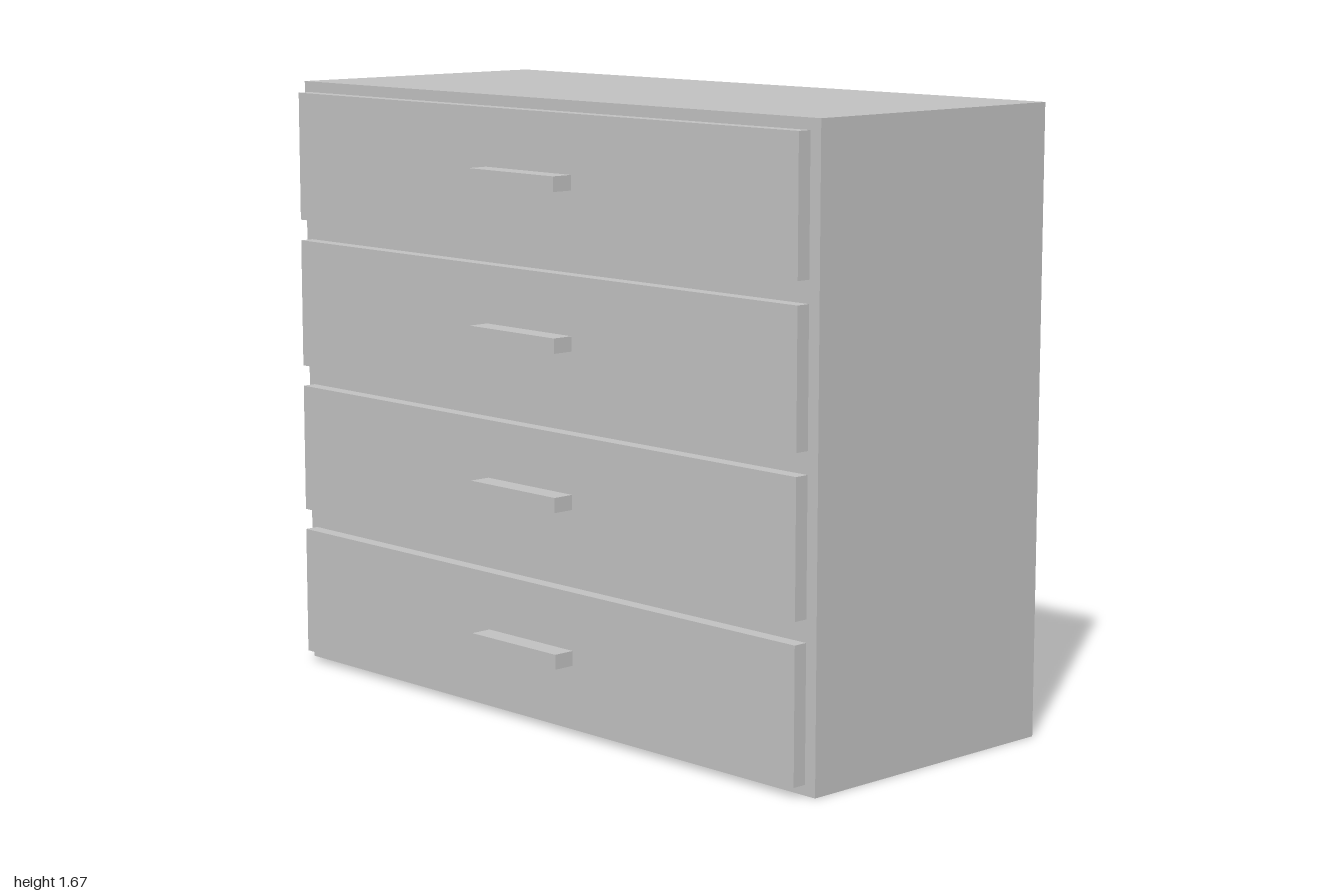
import * as THREE from 'three';

export function createModel() {
  const model = new THREE.Group();
  model.name = 'chestOfDrawers';
  const grey = new THREE.MeshStandardMaterial({ color: 0xc0c0c0 });
  grey.name = 'plain grey';

  // Box from its size, vertical centre and back plane
  const addBox = (name, parent, width, height, depth, y, back) => {
    const mesh = new THREE.Mesh(new THREE.BoxGeometry(width, height, depth), grey);
    mesh.name = name;
    mesh.position.set(0, y, back + depth / 2);
    parent.add(mesh);
  };

  // Cabinet body
  const height = 1.667;
  addBox('cabinet', model, 2, height, 0.832, height / 2, -0.469);

  // Four equal drawers, fronts set just off the body, each with a bar handle
  const count = 4;
  const pitch = height / count;
  for (let i = 0; i < count; i++) {
    const drawer = new THREE.Group();
    drawer.name = `drawer${i + 1}`;
    drawer.position.y = pitch * (i + 0.5);
    addBox('drawerFront', drawer, 1.94, 0.358, 0.04, 0, 0.368);
    addBox('handle', drawer, 0.333, 0.04, 0.061, 0.002, 0.408);
    model.add(drawer);
  }
  return model;
}
